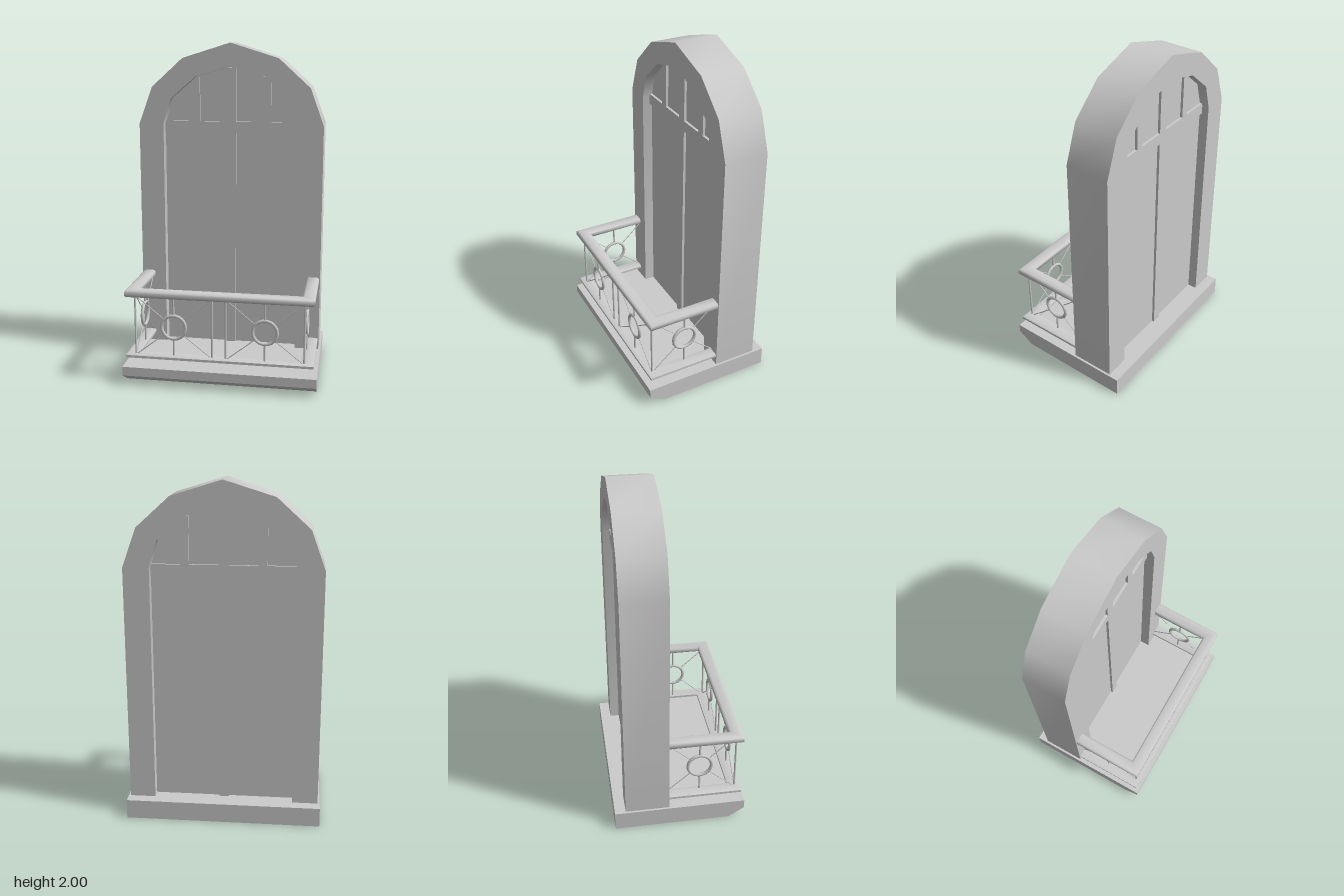
import * as THREE from 'three';
import { toCreasedNormals } from 'three/addons/utils/BufferGeometryUtils.js';

const material = new THREE.MeshStandardMaterial({ color: 0xcccccc });
const FLOOR = 0.115;
const OUTER = [[0.562, FLOOR], [0.562, 1.515], [0.48, 1.738], [0.29, 1.91], [0, 2]];
const INNER = [[0.412, FLOOR], [0.412, 1.515], [0.365, 1.67], [0.21, 1.802], [0, 1.86]];

function add(parent, name, geometry, x = 0, y = 0, z = 0) {
  const mesh = new THREE.Mesh(geometry, material);
  mesh.name = name;
  mesh.position.set(x, y, z);
  parent.add(mesh);
  return mesh;
}

// Full arch outline from its right half, running foot to foot
const archOutline = (half) => [
  ...half,
  ...half.slice(0, -1).reverse().map(([x, y]) => [-x, y]),
].map(([x, y]) => new THREE.Vector2(x, y));

function extrude(points, z0, z1) {
  const g = new THREE.ExtrudeGeometry(new THREE.Shape(points), { depth: z1 - z0, bevelEnabled: false });
  g.translate(0, 0, z0);
  return toCreasedNormals(g, 0.7);
}

// Box from its minimum and maximum corners
function block(parent, name, [x0, y0, z0], [x1, y1, z1]) {
  add(parent, name, new THREE.BoxGeometry(x1 - x0, y1 - y0, z1 - z0),
    (x0 + x1) / 2, (y0 + y1) / 2, (z0 + z1) / 2);
}

// Thin round bar between two points
function rod(parent, name, a, b, radius) {
  const from = new THREE.Vector3(...a), to = new THREE.Vector3(...b);
  const dir = to.clone().sub(from);
  const mesh = add(parent, name, new THREE.CylinderGeometry(radius, radius, dir.length(), 8));
  mesh.position.copy(from).add(to).multiplyScalar(0.5);
  mesh.quaternion.setFromUnitVectors(new THREE.Vector3(0, 1, 0), dir.normalize());
}

// U-shaped handrail: a softened bar section carried round two mitred corners
function railGeometry(y, halfWidth, halfHeight) {
  const section = [[1, -0.6], [1, 0.6], [0.7, 1], [-0.7, 1], [-1, 0.6], [-1, -0.6], [-0.7, -1], [0.7, -1]];
  const sides = section.length, pos = [], index = [];
  const path = [[-1, -0.08, 0], [-1, 0.34, 1], [1, 0.34, 1], [1, -0.08, 0]];
  for (const [side, z, corner] of path) {
    for (const [u, v] of section) {
      const out = u * halfWidth;
      pos.push(side * (0.519 + out), y + v * halfHeight, z + corner * out);
    }
  }
  for (let r = 0; r < 3; r++) {
    for (let i = 0; i < sides; i++) {
      const j = (i + 1) % sides;
      const a = r * sides + i, b = r * sides + j;
      index.push(a, a + sides, b, b, a + sides, b + sides);
    }
  }
  const g = new THREE.BufferGeometry();
  g.setAttribute('position', new THREE.Float32BufferAttribute(pos, 3));
  g.setIndex(index);
  return toCreasedNormals(g, 1.1);
}

// Railing panel in its own xy plane: posts, ring and four diagonals
function railingPanel(name, halfWidth, posts) {
  const panel = new THREE.Group();
  panel.name = name;
  const low = 0.18, high = 0.55, mid = 0.362, r = 0.072;
  for (const x of posts) rod(panel, 'post', [x, low, 0], [x, high, 0], 0.006);
  add(panel, 'ring', new THREE.TorusGeometry(r, 0.01, 8, 18), 0, mid, 0);
  for (const sy of [-1, 1]) {
    const end = sy > 0 ? high : low;
    rod(panel, 'middlePost', [0, mid + sy * r, 0], [0, end, 0], 0.006);
    for (const sx of [-1, 1]) {
      const dx = sx * halfWidth, dy = end - mid, k = r / Math.hypot(dx, dy);
      rod(panel, 'diagonalBar', [dx * k, mid + dy * k, 0], [dx, end, 0], 0.003);
    }
  }
  return panel;
}

export function createModel() {
  const model = new THREE.Group();
  model.name = 'balconyDoor';

  // Slab with an undercut front edge; profile drawn as (-z, y)
  const slabProfile = [[0.395, 0], [0.395, FLOOR], [-0.395, FLOOR], [-0.395, 0.06], [-0.3, 0]]
    .map(([x, y]) => new THREE.Vector2(x, y));
  const slab = extrude(slabProfile, -0.575, 0.575);
  slab.rotateY(Math.PI / 2);
  add(model, 'slab', slab);

  // Arched surround, open at the foot
  add(model, 'archSurround',
    extrude([...archOutline(OUTER), ...archOutline(INNER).reverse()], -0.33, -0.065));

  // Door leaf and its raised glazing bars, set back on both faces
  const door = new THREE.Group();
  door.name = 'door';
  model.add(door);
  add(door, 'pane', extrude(archOutline(INNER), -0.272, -0.127));
  const back = -0.287, front = -0.112;
  block(door, 'centreBar', [-0.029, FLOOR, back], [0.029, 1.855, front]);
  block(door, 'transom', [-0.412, 1.463, back], [0.412, 1.53, front]);
  for (const s of [-1, 1]) {
    block(door, 'fanlightBar', [s * 0.219 - 0.025, 1.53, back], [s * 0.219 + 0.025, 1.8, front]);
  }

  // Balcony railing
  const railing = new THREE.Group();
  railing.name = 'railing';
  model.add(railing);
  add(railing, 'topRail', railGeometry(0.563, 0.037, 0.021));
  add(railing, 'bottomRail', railGeometry(0.177, 0.037, 0.012));
  for (const s of [-1, 1]) {
    const frontPanel = railingPanel('frontPanel', 0.23, [-0.23, 0.23]);
    frontPanel.position.set(s * 0.27, 0, 0.345);
    railing.add(frontPanel);

    const sidePanel = railingPanel('sidePanel', 0.21, []);
    sidePanel.rotation.y = Math.PI / 2;
    sidePanel.position.set(s * 0.5, 0, 0.128);
    railing.add(sidePanel);
  }
  return model;
}
